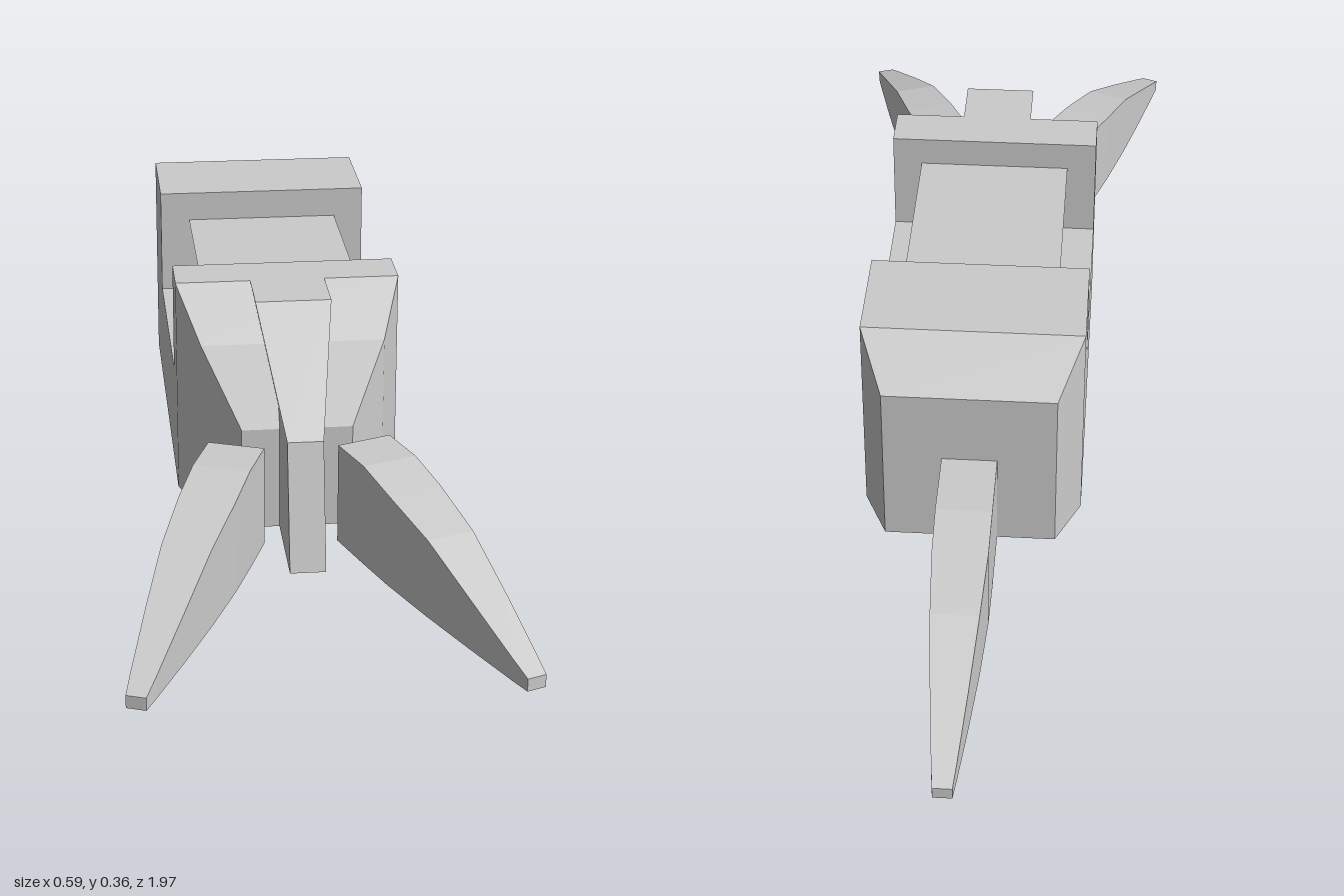
import * as THREE from 'three';

const material = new THREE.MeshStandardMaterial({ color: 0xcccccc, flatShading: true });

// Skins a stack of four-cornered rings and closes both ends.
function loft(name, rings) {
  const pos = [];
  const quad = (a, b, c, d) => pos.push(...a, ...b, ...c, ...a, ...c, ...d);
  for (let i = 0; i < rings.length - 1; i++) {
    for (let j = 0; j < 4; j++) {
      const k = (j + 1) % 4;
      quad(rings[i][j], rings[i][k], rings[i + 1][k], rings[i + 1][j]);
    }
  }
  quad(...[...rings[0]].reverse());
  quad(...rings[rings.length - 1]);
  const geometry = new THREE.BufferGeometry();
  geometry.setAttribute('position', new THREE.Float32BufferAttribute(pos, 3));
  geometry.computeVertexNormals();
  const mesh = new THREE.Mesh(geometry, material);
  mesh.name = name;
  return mesh;
}

// Upright ring, used for parts lofted along z.
const ringZ = (z, bottom, top, w, wBottom = w) => [
  [-wBottom, bottom, z], [wBottom, bottom, z], [w, top, z], [-w, top, z],
];

// Level ring, used for parts lofted along y.
const ringY = (y, back, front, w) => [
  [-w, y, back], [-w, y, front], [w, y, front], [w, y, back],
];

// Tapering limb: distance from root, bottom, top, half width.
const limbSections = [
  [0.12, 0, 0.165, 0.045],
  [0.2, 0, 0.15, 0.044],
  [0.31, 0, 0.125, 0.038],
  [0.42, 0, 0.08, 0.029],
  [0.525, 0, 0.035, 0.019],
  [0.56, 0, 0.02, 0.015],
];

function limb(name, root, x, z, angle) {
  const mesh = loft(name, [...root, ...limbSections].map((s) => ringZ(...s)));
  mesh.position.set(x, 0, z);
  mesh.rotation.y = angle;
  return mesh;
}

export function createModel() {
  const model = new THREE.Group();
  model.name = 'model';

  // Hull with a chamfered tail end, a sunken middle and a tapered nose
  const hull = [
    [-0.44, 0.29, 0.14], [-0.355, 0.36, 0.18],
    [-0.175, 0.36, 0.18], [-0.175, 0.18, 0.18],
    [0.19, 0.18, 0.18], [0.19, 0.36, 0.18],
    [0.27, 0.36, 0.18], [0.36, 0.287, 0.146], [0.43, 0.17, 0.088],
  ];
  model.add(loft('hull', hull.map(([z, top, w]) => ringZ(z, 0, top, w))));

  // Inset block, wider at the top than at its foot
  model.add(loft('insetBlock', [-0.175, 0.19].map((z) => ringZ(z, 0.18, 0.31, 0.13, 0.07))));

  // Central ridge running down the nose to the ground
  model.add(loft('noseRidge', [
    ringY(0, 0.4, 0.592, 0.028),
    ringY(0.2, 0.33, 0.547, 0.028),
    ringY(0.36, 0.27, 0.365, 0.06),
  ]));

  // Tail and the two splayed front limbs
  model.add(limb('tail', [[0, 0, 0.165, 0.045]], 0, -0.44, Math.PI));
  const root = [[0, 0.035, 0.13, 0.026], [0.035, 0, 0.165, 0.045]];
  for (const side of [1, -1]) {
    const name = side > 0 ? 'leftFrontLimb' : 'rightFrontLimb';
    model.add(limb(name, root, side * 0.088, 0.44, side * 0.35));
  }

  return model;
}
